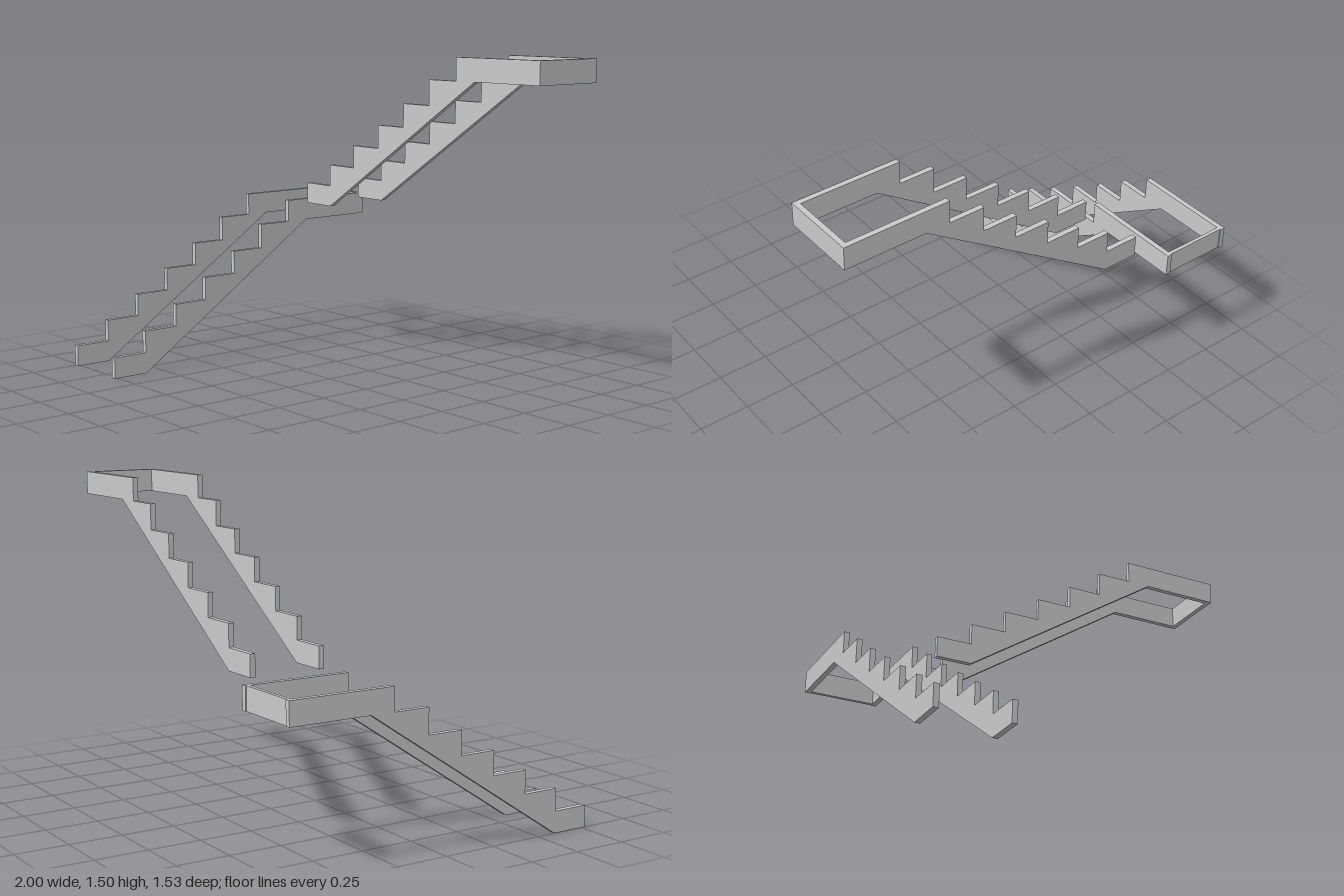
import * as THREE from 'three';

const material = new THREE.MeshStandardMaterial({ color: 0xcccccc, flatShading: true });
const THICK = 0.025;
const LENGTH = 1.535;

// Height of each tread and distance of each riser along the run
const treads = [0.1, 0.203, 0.31, 0.42, 0.53, 0.647, 0.753];
const risers = [0.173, 0.348, 0.523, 0.697, 0.867, 1.038, LENGTH];

// Sawtooth side profile ending in a level landing
function stringerShape() {
  const shape = new THREE.Shape();
  shape.moveTo(0, 0);
  let x = 0;
  treads.forEach((y, i) => {
    shape.lineTo(x, y);
    x = risers[i];
    shape.lineTo(x, y);
  });
  shape.lineTo(LENGTH, 0.647);
  shape.lineTo(1.152, 0.647);
  shape.lineTo(0.175, 0);
  shape.closePath();
  return shape;
}

// Two stringers joined by a plate at the end of the landing; climbs along +x
function createFlight(name, width, plateEnd, plateThick) {
  const flight = new THREE.Group();
  flight.name = name;
  const geometry = new THREE.ExtrudeGeometry(stringerShape(), { depth: THICK, bevelEnabled: false });
  [['innerStringer', 0], ['outerStringer', width - THICK]].forEach(([label, z]) => {
    const stringer = new THREE.Mesh(geometry, material);
    stringer.name = label;
    stringer.position.z = z;
    flight.add(stringer);
  });
  const plate = new THREE.Mesh(new THREE.BoxGeometry(plateThick, 0.106, width - 2 * THICK), material);
  plate.name = 'landingEndPlate';
  plate.position.set(plateEnd - plateThick / 2, 0.7, width / 2);
  flight.add(plate);
  return flight;
}

export function createModel() {
  const model = new THREE.Group();
  model.name = 'staircaseStringers';

  // Lower flight climbs toward the back
  const lower = createFlight('lowerFlight', 0.355, 1.53, 0.017);
  lower.rotation.y = Math.PI / 2;
  lower.position.set(-1, 0, 0.768);

  // Upper flight climbs toward the model's left
  const upper = createFlight('upperFlight', 0.36, LENGTH, THICK);
  upper.position.set(-0.535, 0.75, -0.665);

  model.add(lower, upper);
  return model;
}
